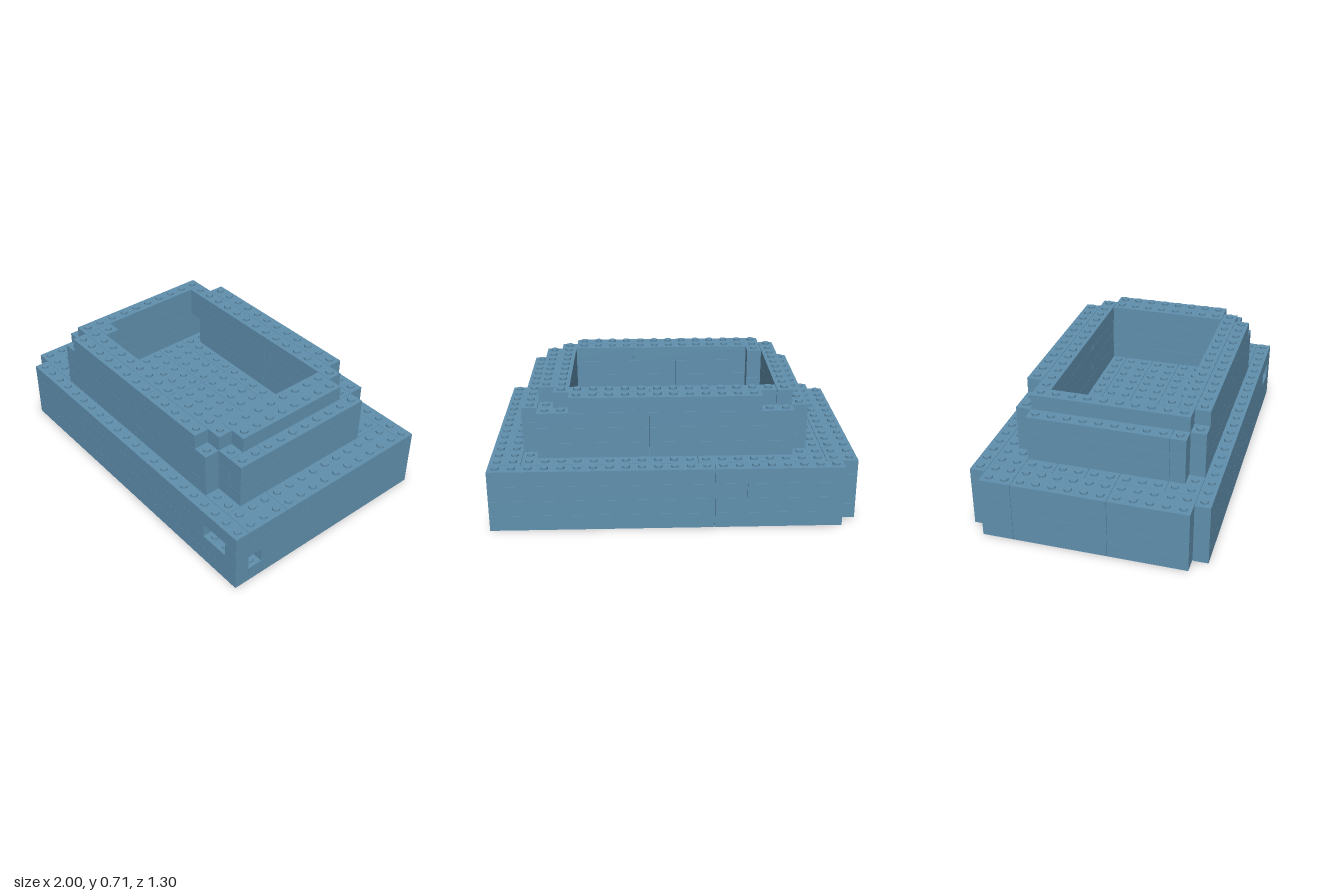
import * as THREE from 'three';
import { mergeGeometries } from 'three/addons/utils/BufferGeometryUtils.js';

const U = 2 / 23;        // one cell of the brick grid
const GAP = 0.002;       // narrow seam around every brick
const X = i => -1 + i * U;
const Z = j => (7.5 - j) * U;   // j counts backwards from the front edge

// Each brick is [i0, i1, j0, j1] in grid cells.
function baseLayer(n) {
  const cut = n === 2 ? 7 : 9;
  const bricks = [[1, cut, 14, 15], [cut, 23, 14, 15], [1, cut, 0, 1]];
  // front row, with a two-cell window in the third layer
  if (n === 2) bricks.push([cut, 12, 0, 1], [12, 20, 0, 1], [22, 23, 0, 1], [22, 23, 1, 2]);
  else bricks.push([cut, 23, 0, 1]);
  // side columns; the right one starts a cell later where there is an opening
  const start = n === 1 || n === 2 ? 2 : 1;
  const seam = n === 3 ? 4 : 6;
  bricks.push([0, 2, 1, 6], [0, 2, 6, 12], [0, 2, 12, 14]);
  bricks.push([21, 23, start, seam], [21, 23, seam, 14]);
  // filling and pool floor
  const rows = [1, 3, 6, 8, 10, 12, 14];
  for (let r = 0; r < rows.length - 1; r++) {
    const split = r === 1 ? 16 : 10;
    bricks.push([2, split, rows[r], rows[r + 1]]);
    if (n === 2 && r === 0) bricks.push([split, 20, 1, 3], [20, 21, 2, 3]);
    else bricks.push([split, 21, rows[r], rows[r + 1]]);
  }
  return bricks;
}

function wallLayer(n) {
  const cut = n === 5 ? 10 : 12;
  return [
    [4, cut, 1, 2], [cut, 19, 1, 2],
    [3, 11, 2, 3], [11, 20, 2, 3],
    [3, 5, 3, 12], [5, 6, 3, 4],
    [18, 20, 3, 12], [20, 21, 2, n === 5 ? 5 : 4], [20, 21, n === 5 ? 5 : 4, 12],
    [n < 6 ? 6 : 5, 13, 11, 12], [13, 18, 11, 12],
    [4, 13, 12, 13], [13, 20, 12, 13],
  ];
}

const rimLayer = [
  [5, 13, 1, 2], [13, 18, 1, 2],
  [5, 14, 2, 3], [14, 19, 2, 3],
  [4, 5, 2, 12], [5, 6, 3, 4], [18, 20, 3, 11],
  [5, 13, 11, 12], [13, 19, 11, 12],
  [6, 14, 12, 13], [14, 18, 12, 13],
];

function brick([i0, i1, j0, j1], layer) {
  const g = new THREE.BoxGeometry((i1 - i0) * U - GAP, U - GAP / 2, (j1 - j0) * U - GAP);
  return g.translate(X((i0 + i1) / 2), (layer + 0.5) * U, Z((j0 + j1) / 2));
}

function stud(i, j, layer) {
  const g = new THREE.CylinderGeometry(0.021, 0.021, 0.014, 16);
  return g.translate(X(i + 0.5), (layer + 1) * U + 0.005, Z(j + 0.5));
}

// Set of grid cells filled by a layer
function cells(bricks) {
  const set = new Set();
  for (const [i0, i1, j0, j1] of bricks)
    for (let i = i0; i < i1; i++)
      for (let j = j0; j < j1; j++) set.add(i * 100 + j);
  return set;
}

export function createModel() {
  const model = new THREE.Group();
  model.name = 'steppedBrickPool';
  const blue = new THREE.MeshStandardMaterial({ color: 0x6090ae });
  blue.name = 'sand blue';

  const layers = [];
  for (let n = 0; n < 8; n++) layers.push(n < 4 ? baseLayer(n) : n < 7 ? wallLayer(n) : rimLayer);
  const filled = layers.map(cells);

  layers.forEach((bricks, n) => {
    const part = n < 4 ? 'base' : n < 7 ? 'wall' : 'rim';
    const mesh = new THREE.Mesh(mergeGeometries(bricks.map(b => brick(b, n))), blue);
    mesh.name = `${part}Layer${n + 1}`;
    model.add(mesh);

    // studs only where nothing sits on top
    const open = [...filled[n]].filter(c => !filled[n + 1]?.has(c));
    if (!open.length) return;
    const studs = open.map(c => stud(Math.floor(c / 100), c % 100, n));
    const studMesh = new THREE.Mesh(mergeGeometries(studs), blue);
    studMesh.name = `${part}Studs${n + 1}`;
    model.add(studMesh);
  });
  return model;
}
